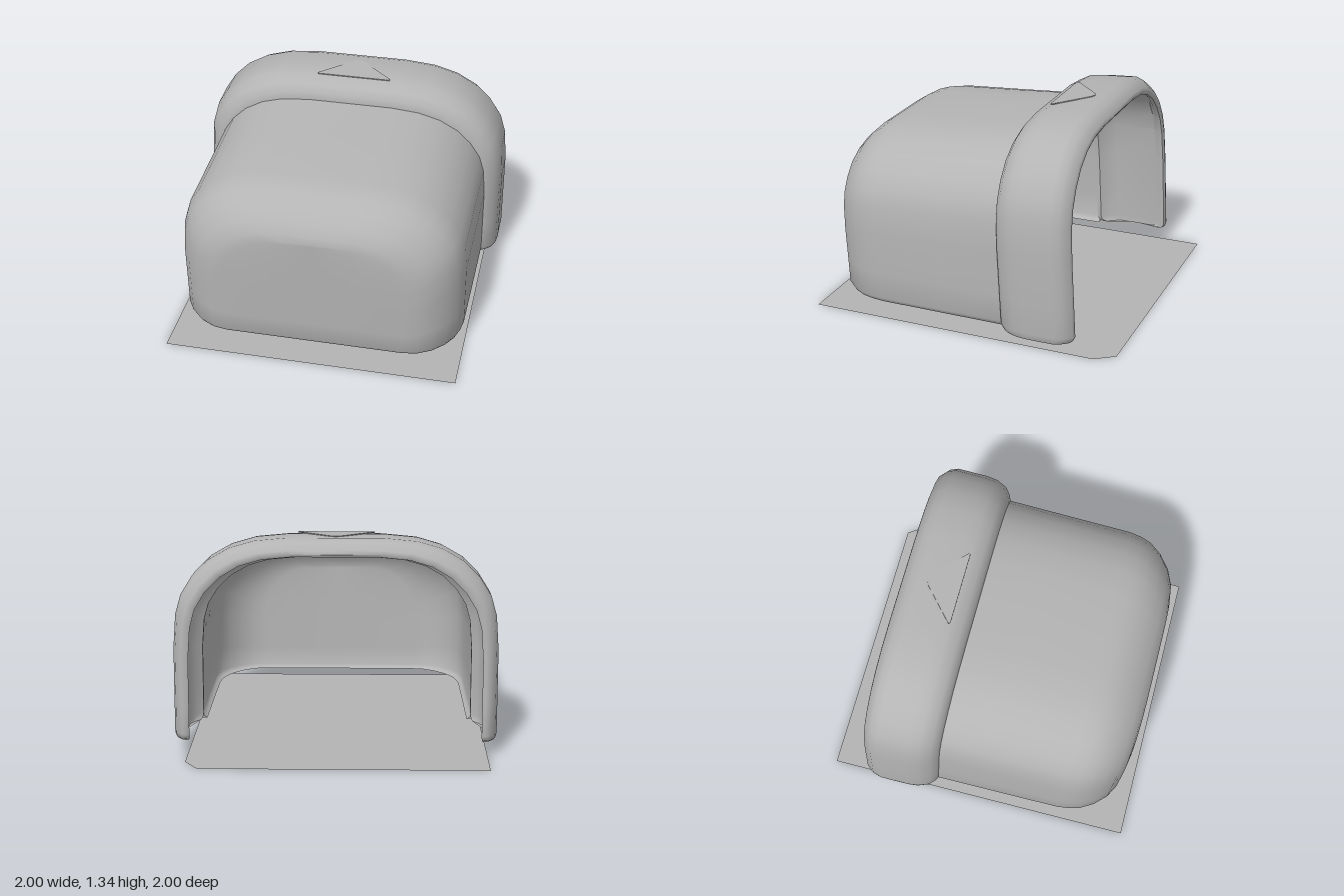
import * as THREE from 'three';
import { toCreasedNormals } from 'three/addons/utils/BufferGeometryUtils.js';

const BASE = 0.09;   // height of the lower rim
const LEAN = 0.055;  // forward lean of every cross-section

// Half arch from the side wall up to the crown: [width factor, height factor]
const HALF = [[1, 0.2], [1, 0.45], [0.985, 0.62], [0.95, 0.72], [0.88, 0.81],
  [0.78, 0.89], [0.65, 0.95], [0.5, 0.985], [0.3, 1]];
const mirrorX = pts => [...pts, [0, 1], ...pts.slice().reverse().map(([x, y, k]) => [-x, y, k])];

// Skin a grid of points; rows run along the first index
function skin(rows, closeRows, closeCols) {
  const nr = rows.length, nc = rows[0].length, index = [];
  for (let r = 0; r < nr - (closeRows ? 0 : 1); r++) {
    for (let c = 0; c < nc - (closeCols ? 0 : 1); c++) {
      const r2 = (r + 1) % nr, c2 = (c + 1) % nc;
      const a = r * nc + c, b = r2 * nc + c, d = r2 * nc + c2, e = r * nc + c2;
      index.push(a, b, d, a, d, e);
    }
  }
  const g = new THREE.BufferGeometry();
  g.setAttribute('position', new THREE.Float32BufferAttribute(rows.flat(2), 3));
  g.setIndex(index);
  return toCreasedNormals(g, 0.75);
}

// Front hood: each ring is an outer arch joined to an inner arch
function hoodGeometry() {
  const arch = mirrorX([[0.965, 0, 0.97], [0.99, 0.012, 0.99], [1, 0.035, 1], ...HALF]);
  const rings = [ // z, half width, height
    [0.905, 0, 0.87], [0.905, 0.57, 0.87], [0.89, 0.66, 0.915], [0.845, 0.745, 0.98],
    [0.77, 0.82, 1.05], [0.69, 0.868, 1.1], [0.62, 0.889, 1.122], [0.538, 0.9, 1.135],
    [0.1, 0.903, 1.162], [-0.3, 0.905, 1.19]];
  const place = (z, w, h) => arch.map(([ax, ay, k = 1]) => {
    const y = BASE + (h - BASE) * ay;
    return [w * ax, y, (z > 0 ? z * k : z) + LEAN * y];
  });
  const rows = rings.map(([z, w, h]) => [
    ...place(z, w, h),
    ...place(z > 0.5 ? z - 0.035 : z, Math.max(0, w - 0.035), h - 0.035).reverse()]);
  return skin(rows, false, true);
}

// Raised collar: a closed section swept over the arch with rounded feet
function collarGeometry() {
  const section = [ // z, half width, height
    [-0.28, 0.895, 1.185], [-0.295, 0.925, 1.235], [-0.33, 0.965, 1.28], [-0.4, 0.992, 1.315],
    [-0.47, 1, 1.325], [-0.67, 1, 1.338], [-0.72, 0.985, 1.32], [-0.77, 0.945, 1.28],
    [-0.775, 0.92, 1.257], [-0.765, 0.9, 1.24], [-0.735, 0.905, 1.245], [-0.7, 0.935, 1.27],
    [-0.42, 0.935, 1.26], [-0.35, 0.9, 1.2], [-0.31, 0.862, 1.145], [-0.285, 0.862, 1.145]];
  const mid = [-0.53, 0.945];
  const arch = mirrorX([[1, 0, 0], [1, 0, 0.85], [1, 0.012, 0.95], [1, 0.035, 1], ...HALF]);
  const rows = section.map(([z, w, h]) => arch.map(([ax, ay, k = 1]) => {
    const y = BASE + (h - BASE) * ay;
    return [ax * (mid[1] + (w - mid[1]) * k), y, mid[0] + (z - mid[0]) * k + LEAN * y];
  }));
  return skin(rows, true, false);
}

function shapeOf(points) {
  return new THREE.Shape(points.map(([x, y]) => new THREE.Vector2(x, y)));
}

export function createModel() {
  const model = new THREE.Group();
  const gray = new THREE.MeshStandardMaterial({ color: 0xb4b4b4, side: THREE.DoubleSide });
  gray.name = 'plain gray';
  const add = (name, geometry) => {
    const mesh = new THREE.Mesh(geometry, gray);
    mesh.name = name;
    model.add(mesh);
    return mesh;
  };

  add('hood', hoodGeometry());
  add('collar', collarGeometry());

  // Triangular marker on the crown of the collar
  const marker = add('triangleMarker', new THREE.ExtrudeGeometry(
    shapeOf([[-0.235, 0], [0.235, 0], [0.24, 0.012], [0.03, 0.2], [0, 0.21], [-0.03, 0.2], [-0.24, 0.012]]),
    { depth: 0.006, bevelEnabled: false }));
  marker.rotation.x = -Math.PI / 2 + 0.05;
  marker.position.set(0, 1.322, -0.33);

  // Thin floor sheet with one clipped corner
  const floor = add('floorSheet', new THREE.ShapeGeometry(
    shapeOf([[-0.94, -1], [0.915, -1], [0.915, 0.88], [0.83, 1], [-0.94, 1]])));
  floor.rotation.x = -Math.PI / 2;

  return model;
}
